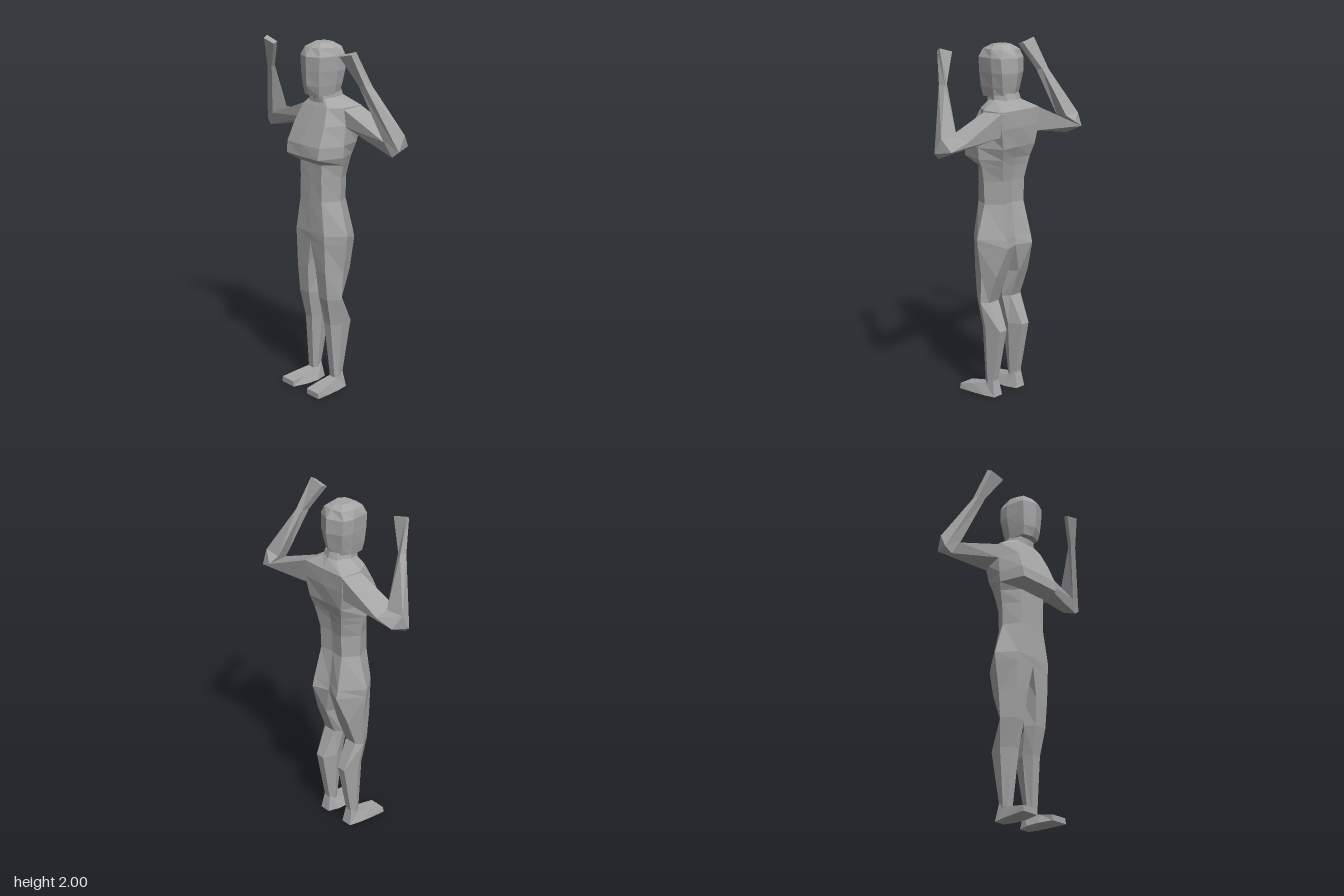
import * as THREE from 'three';

const skin = new THREE.MeshStandardMaterial({ color: 0xa6a6a6, flatShading: true });
skin.name = 'plain grey';

// Skin a stack of equal-sized point rings, close both ends, and face it outward
function loft(name, rings) {
  const tris = [];
  const n = rings[0].length;
  for (let r = 0; r < rings.length - 1; r++) {
    for (let i = 0; i < n; i++) {
      const j = (i + 1) % n, lo = rings[r], hi = rings[r + 1];
      tris.push([lo[i], lo[j], hi[j]], [lo[i], hi[j], hi[i]]);
    }
  }
  const first = rings[0], last = rings[rings.length - 1];
  for (let i = 1; i < n - 1; i++) {
    tris.push([first[0], first[i + 1], first[i]], [last[0], last[i], last[i + 1]]);
  }
  const v = tris.map(t => t.map(p => new THREE.Vector3(...p)));
  const volume = v.reduce((s, [a, b, c]) => s + a.dot(b.clone().cross(c)), 0);
  if (volume < 0) v.forEach(t => t.reverse());
  const geometry = new THREE.BufferGeometry().setFromPoints(v.flat());
  geometry.computeVertexNormals();
  const mesh = new THREE.Mesh(geometry, skin);
  mesh.name = name;
  return mesh;
}

// Level ring from [x, z] points
const level = (y, pts) => pts.map(([x, z]) => [x, y, z]);

// Symmetric level ring: half outline from front centre to back centre
const symmetric = (y, half) => level(y, [
  ...half, ...half.slice(1, -1).reverse().map(([x, z]) => [-x, z]),
]);

const mirror = rings => rings.map(ring => ring.map(([x, y, z]) => [-x, y, z]));

export function createModel() {
  const group = new THREE.Group();
  group.name = 'figure';

  // Head: crown down to jaw
  group.add(loft('head', [
    symmetric(2.0, [[0, 0.04], [0.03, 0.035], [0.05, 0], [0.035, -0.045], [0, -0.05]]),
    symmetric(1.975, [[0, 0.085], [0.06, 0.075], [0.085, -0.01], [0.065, -0.08], [0, -0.095]]),
    symmetric(1.93, [[0, 0.12], [0.08, 0.09], [0.1, -0.02], [0.09, -0.085], [0, -0.125]]),
    symmetric(1.85, [[0, 0.118], [0.075, 0.09], [0.097, -0.025], [0.085, -0.09], [0, -0.13]]),
    symmetric(1.77, [[0, 0.115], [0.068, 0.085], [0.085, -0.02], [0.07, -0.08], [0, -0.115]]),
    symmetric(1.715, [[0, 0.095], [0.06, 0.075], [0.075, -0.02], [0.055, -0.075], [0, -0.1]]),
  ]));

  // Neck
  group.add(loft('neck', [
    symmetric(1.74, [[0, 0.055], [0.05, 0.045], [0.075, -0.02], [0.05, -0.09], [0, -0.105]]),
    symmetric(1.67, [[0, 0.05], [0.06, 0.045], [0.085, -0.03], [0.06, -0.11], [0, -0.125]]),
  ]));

  // Torso: shoulders, bust, waist and hips
  group.add(loft('torso', [
    symmetric(1.705, [[0, 0.035], [0.05, 0.03], [0.08, -0.03], [0.05, -0.105], [0, -0.115]]),
    symmetric(1.655, [[0, 0.06], [0.1, 0.055], [0.155, -0.02], [0.15, -0.15], [0, -0.152]]),
    symmetric(1.56, [[0, 0.1], [0.125, 0.095], [0.17, -0.02], [0.15, -0.148], [0, -0.152]]),
    symmetric(1.45, [[0, 0.146], [0.135, 0.14], [0.178, 0], [0.125, -0.14], [0, -0.135]]),
    symmetric(1.385, [[0, 0.15], [0.132, 0.148], [0.176, 0], [0.11, -0.12], [0, -0.11]]),
    symmetric(1.34, [[0, 0.085], [0.09, 0.085], [0.16, -0.01], [0.1, -0.112], [0, -0.1]]),
    symmetric(1.26, [[0, 0.087], [0.088, 0.085], [0.146, -0.01], [0.085, -0.1], [0, -0.09]]),
    symmetric(1.13, [[0, 0.09], [0.09, 0.085], [0.14, -0.01], [0.085, -0.095], [0, -0.085]]),
    symmetric(0.94, [[0, 0.095], [0.12, 0.092], [0.2, -0.01], [0.1, -0.138], [0, -0.11]]),
    symmetric(0.89, [[0, 0.09], [0.12, 0.09], [0.195, -0.01], [0.1, -0.15], [0, -0.115]]),
  ]));

  // Leg: thigh, knee, calf and ankle
  const leg = [
    level(0.89, [[0, 0.09], [0.12, 0.09], [0.195, -0.01], [0.1, -0.15], [0, -0.115], [0, 0]]),
    level(0.72, [[0.035, 0.08], [0.12, 0.083], [0.168, -0.01], [0.13, -0.09], [0.05, -0.095], [0.012, -0.01]]),
    level(0.56, [[0.045, 0.065], [0.12, 0.068], [0.165, 0], [0.13, -0.032], [0.05, -0.032], [0.017, 0.005]]),
    level(0.4, [[0.055, 0.035], [0.11, 0.035], [0.145, -0.02], [0.12, -0.108], [0.065, -0.108], [0.035, -0.025]]),
    level(0.07, [[0.075, 0.008], [0.115, 0.008], [0.125, -0.015], [0.115, -0.048], [0.075, -0.048], [0.062, -0.015]]),
  ];

  // Foot: sections from heel to toe
  const section = (x0, x1, t0, t1, top, z, zTop = z) =>
    [[x0, 0, z], [x1, 0, z], [t1, top, zTop], [t0, top, zTop]];
  const foot = [
    section(0.062, 0.128, 0.072, 0.118, 0.1, -0.07, -0.05),
    section(0.04, 0.145, 0.065, 0.125, 0.068, 0, 0.005),
    section(0.04, 0.155, 0.058, 0.145, 0.05, 0.08),
    section(0.06, 0.163, 0.06, 0.16, 0.032, 0.17),
  ];

  // Arm: shoulder, mitred elbow, raised forearm and wrist
  const arm = [
    [[0.13, 1.655, -0.02], [0.13, 1.66, -0.15], [0.15, 1.52, -0.14], [0.16, 1.555, -0.02]],
    [[0.47, 1.525, -0.02], [0.435, 1.535, -0.17], [0.525, 1.495, -0.145], [0.515, 1.447, -0.04]],
    [[0.465, 1.54, -0.015], [0.44, 1.56, -0.1], [0.55, 1.565, -0.095], [0.555, 1.48, -0.05]],
    [[0.365, 1.82, 0.065], [0.38, 1.82, 0.03], [0.412, 1.82, 0.012], [0.41, 1.82, 0.06]],
    [[0.275, 1.965, 0.12], [0.28, 1.975, 0.09], [0.372, 2.0, 0.09], [0.365, 1.985, 0.117]],
  ];

  for (const [name, rings] of [['Leg', leg], ['Foot', foot], ['Arm', arm]]) {
    group.add(loft('left' + name, rings), loft('right' + name, mirror(rings)));
  }
  return group;
}
